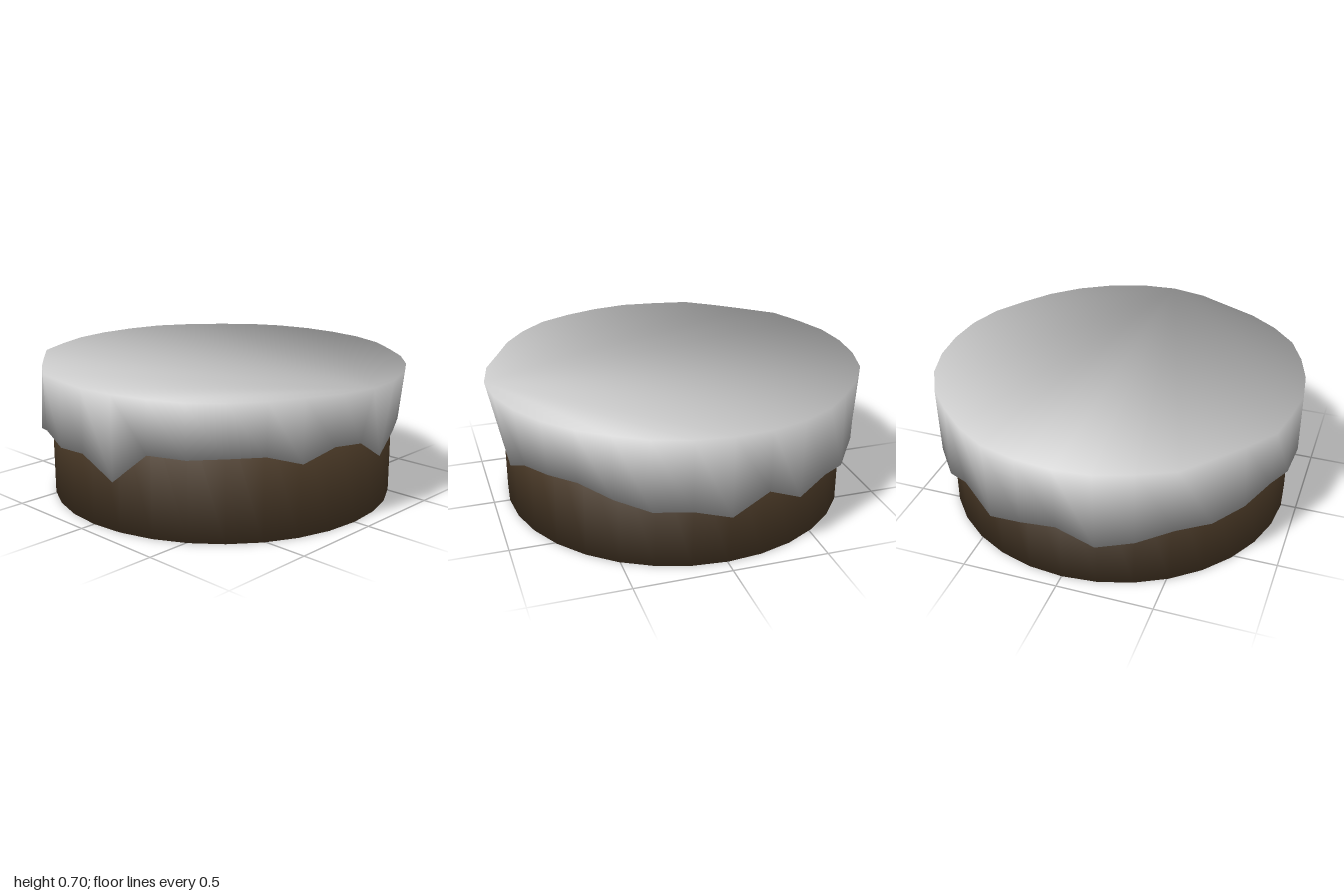
import * as THREE from 'three';

const SEGMENTS = 32;

// Icing rim radius and drip height at each step, going from +x round to +z
const RIM = [1, .98, .95, .96, .97, .98, .97, .97, .975, .97, .99, .965, .965, 1, .99, 1,
  1, 1, 1.005, .99, .98, .99, .99, .985, .98, .98, .975, .96, .97, .98, .99, 1];
const DRIP = [.415, .435, .38, .435, .435, .425, .435, .275, .38, .365, .405, .365, .34, .35, .30, .265,
  .35, .32, .27, .375, .31, .34, .29, .38, .28, .33, .325, .37, .42, .405, .385, .305];

// Stack of rings, top to bottom, with soft rims; ring = { r(k, angle), y(k), out, up }
// where out and up give the direction of the rim normal
function ringStack(rings, capBottom) {
  const position = [], normal = [], index = [];
  for (const ring of rings) {
    const len = Math.hypot(ring.out, ring.up);
    for (let k = 0; k < SEGMENTS; k++) {
      const a = (k / SEGMENTS) * Math.PI * 2, c = Math.cos(a), s = Math.sin(a);
      const r = ring.r(k, a);
      position.push(c * r, ring.y(k), s * r);
      normal.push((c * ring.out) / len, ring.up / len, (s * ring.out) / len);
    }
  }
  // walls between neighbouring rings
  for (let i = 0; i < rings.length - 1; i++) {
    for (let k = 0; k < SEGMENTS; k++) {
      const n = (k + 1) % SEGMENTS;
      const a = i * SEGMENTS + k, b = i * SEGMENTS + n;
      index.push(a, b, a + SEGMENTS, b, b + SEGMENTS, a + SEGMENTS);
    }
  }
  // flat caps
  const last = (rings.length - 1) * SEGMENTS;
  for (let k = 1; k < SEGMENTS - 1; k++) {
    index.push(0, k + 1, k);
    if (capBottom) index.push(last, last + k, last + k + 1);
  }
  const geometry = new THREE.BufferGeometry();
  geometry.setAttribute('position', new THREE.Float32BufferAttribute(position, 3));
  geometry.setAttribute('normal', new THREE.Float32BufferAttribute(normal, 3));
  geometry.setIndex(index);
  return geometry;
}

export function createModel() {
  const group = new THREE.Group();

  // Round cake base
  const cake = new THREE.Mesh(
    ringStack([
      { r: () => 0.92, y: () => 0.66, out: 1, up: 1 },
      { r: () => 0.92, y: () => 0, out: 1, up: -1 },
    ], true),
    new THREE.MeshStandardMaterial({ color: 0x5a4630 })
  );
  cake.name = 'cakeBase';
  cake.position.x = -0.005;
  group.add(cake);

  // Icing: flat top, flared side with uneven drips, and a narrow lip under the edge
  const icing = new THREE.Mesh(
    ringStack([
      { r: (k) => RIM[k], y: () => 0.705, out: 1, up: 1 },
      { r: (k, a) => 0.955 - 0.02 * Math.cos(a) + 0.02 * Math.abs(Math.sin(a)), y: (k) => DRIP[k], out: 1, up: -1 },
      { r: () => 0.918, y: (k) => DRIP[k] + 0.01, out: 0, up: -1 },
    ], false),
    new THREE.MeshStandardMaterial({ color: 0xcccccc, side: THREE.DoubleSide })
  );
  icing.name = 'icing';
  group.add(icing);

  return group;
}
